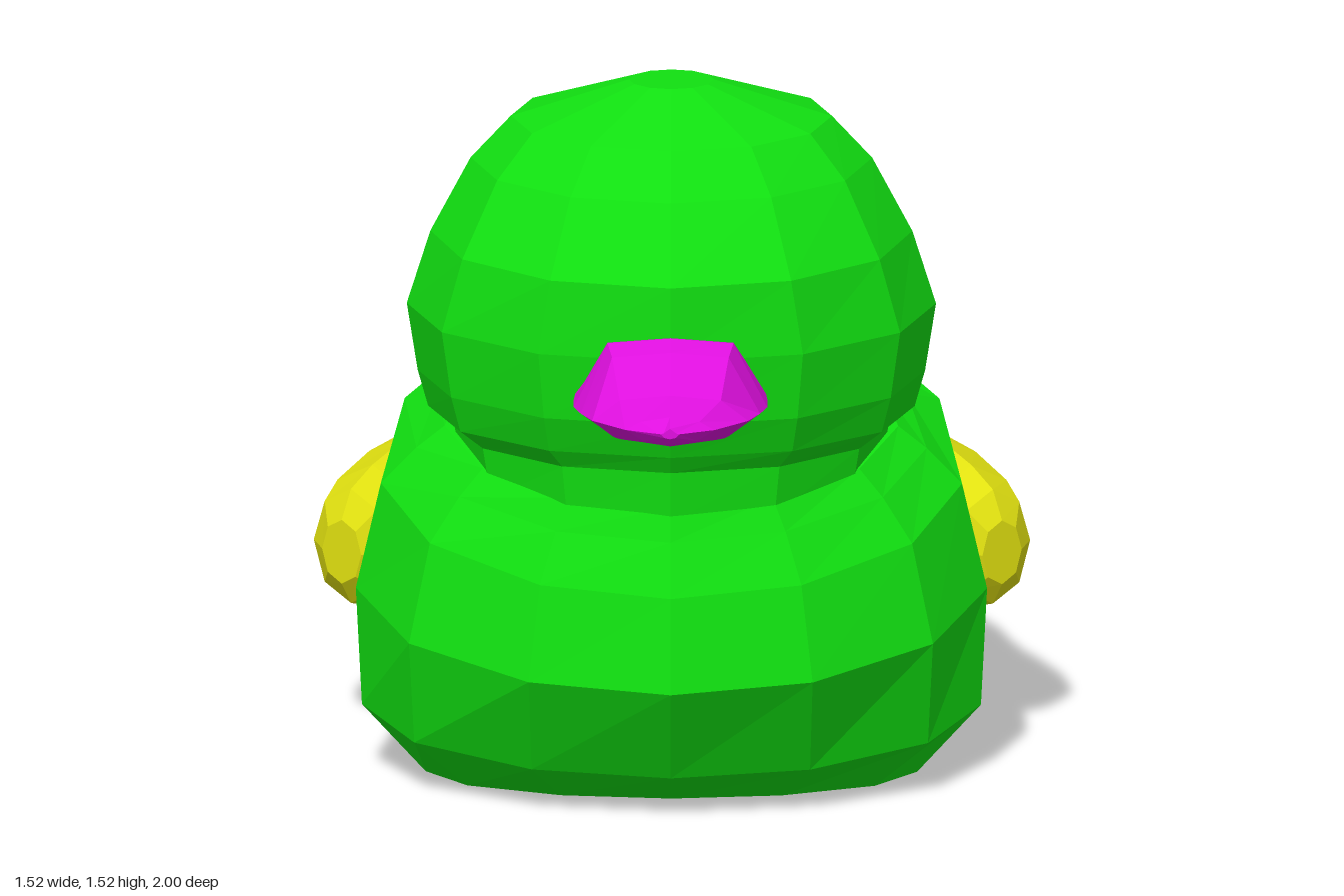
import * as THREE from 'three';

const GREEN = 0x11e011, MAGENTA = 0xe010e0, YELLOW = 0xe0e010;

// Faceted skin over closed rings of [x, y, z], both ends capped.
// Rings run counter-clockwise about the direction of travel.
function loft(name, rings, color) {
  const pos = [];
  const tri = (a, b, c) => pos.push(...a, ...b, ...c);
  const n = rings[0].length;
  for (let r = 0; r < rings.length - 1; r++) {
    const a = rings[r], b = rings[r + 1];
    for (let i = 0; i < n; i++) {
      const j = (i + 1) % n;
      tri(a[i], a[j], b[j]);
      tri(a[i], b[j], b[i]);
    }
  }
  const centre = (ring) => [0, 1, 2].map((k) => ring.reduce((s, p) => s + p[k], 0) / n);
  const first = rings[0], last = rings[rings.length - 1];
  const c0 = centre(first), c1 = centre(last);
  for (let i = 0; i < n; i++) {
    const j = (i + 1) % n;
    tri(c0, first[j], first[i]);
    tri(c1, last[i], last[j]);
  }
  const geo = new THREE.BufferGeometry();
  geo.setAttribute('position', new THREE.Float32BufferAttribute(pos, 3));
  geo.computeVertexNormals();
  const mesh = new THREE.Mesh(geo, new THREE.MeshStandardMaterial({ color, flatShading: true }));
  mesh.name = name;
  return mesh;
}

// Body: tilted rings that are round at the front and blend to a pointed tail
function makeBody() {
  const front = [[0, 1], [0.45, 0.88], [0.83, 0.52], [1, 0]];
  const round = [[0.92, 0.42], [0.65, 0.8], [0.35, 0.97], [0, 1]];
  const tail = [[0.92, 0.31], [0.56, 0.63], [0.14, 0.966], [0, 1]];
  // half width, front z, back z, front y, back y, tail blend
  const rows = [
    [0.52, 0.38, -0.54, 0, 0, 0],
    [0.655, 0.55, -0.81, 0.09, 0.29, 0.5],
    [0.668, 0.69, -0.92, 0.31, 0.59, 0.85],
    [0.615, 0.65, -1, 0.51, 0.92, 1],
    [0.54, 0.6, -0.52, 0.62, 0.848, 0.4],
    [0.48, 0.575, -0.33, 0.69, 0.838, 0],
  ];
  const rings = rows.map(([w, zf, zb, yf, yb, t]) => {
    const zc = 0.16;
    const half = front.map(([x, z]) => [x * w, zc + z * (zf - zc)]);
    round.forEach(([x, z], i) => {
      const px = THREE.MathUtils.lerp(x, tail[i][0], t);
      const pz = THREE.MathUtils.lerp(z, tail[i][1], t);
      half.push([px * w, zc + pz * (zb - zc)]);
    });
    const mirrored = half.slice(1, -1).reverse().map(([x, z]) => [-x, z]);
    return [...half, ...mirrored].map(([x, z]) => [x, yf + (yb - yf) * (zf - z) / (zf - zb), z]);
  });
  return loft('body', rings, GREEN);
}

// Head and neck: twelve-sided rings
function makeHead() {
  // y, half width, half depth, centre z
  const rows = [
    [0.66, 0.44, 0.39, 0.19], [0.77, 0.46, 0.4, 0.19], [0.81, 0.515, 0.425, 0.19],
    [0.89, 0.537, 0.455, 0.195], [1.035, 0.56, 0.48, 0.19], [1.195, 0.51, 0.47, 0.195],
    [1.35, 0.425, 0.375, 0.175], [1.44, 0.34, 0.29, 0.17], [1.52, 0.09, 0.08, 0.17],
  ];
  const rings = rows.map(([y, rx, rz, zc]) => Array.from({ length: 12 }, (_, i) => {
    const a = i * Math.PI / 6;
    return [rx * Math.sin(a), y, zc + rz * Math.cos(a)];
  }));
  return loft('head', rings, GREEN);
}

// Beak: flat-topped sections tapering forward
function makeBeak() {
  // z, half width, top y, corner y, bottom y
  const rows = [
    [0.58, 0.2, 1.06, 0.95, 0.86], [0.66, 0.205, 1.085, 0.95, 0.852],
    [0.72, 0.205, 1.1, 0.95, 0.865], [0.78, 0.19, 1.085, 0.952, 0.88],
    [0.85, 0.165, 1.01, 0.955, 0.9], [0.95, 0.095, 0.99, 0.962, 0.93],
    [1, 0.02, 0.978, 0.966, 0.955],
  ];
  const rings = rows.map(([z, w, top, mid, low]) => {
    const under = mid + (low - mid) * 0.75;
    return [[1, mid], [0.65, top - 0.01], [0, top], [-0.65, top - 0.01],
      [-1, mid], [-0.6, under], [0, low], [0.6, under]].map(([x, y]) => [x * w, y, z]);
  });
  return loft('beak', rings, MAGENTA);
}

// Wing: flattened pod lying along the side of the tail
function makeWing(side) {
  // distance along the wing (rear positive), centre y, half height, half thickness
  const rows = [
    [0.385, 0.5, 0.055, 0.05], [0.32, 0.475, 0.125, 0.09], [0.2, 0.455, 0.175, 0.13],
    [0.07, 0.45, 0.19, 0.145], [-0.1, 0.445, 0.175, 0.145], [-0.24, 0.43, 0.155, 0.125],
    [-0.32, 0.425, 0.125, 0.095], [-0.355, 0.42, 0.07, 0.05],
  ];
  const rings = rows.map(([s, y, h, d]) => Array.from({ length: 8 }, (_, i) => {
    const a = i * Math.PI / 4;
    const out = d * Math.cos(a);
    return [side * (0.5 - 0.56 * s + 0.83 * out), y + h * Math.sin(a), -0.36 - 0.83 * s - 0.56 * out];
  }));
  if (side < 0) rings.reverse();
  return loft(side > 0 ? 'leftWing' : 'rightWing', rings, YELLOW);
}

export function createModel() {
  const duck = new THREE.Group();
  duck.name = 'duck';
  duck.add(makeBody(), makeHead(), makeBeak(), makeWing(1), makeWing(-1));
  return duck;
}
